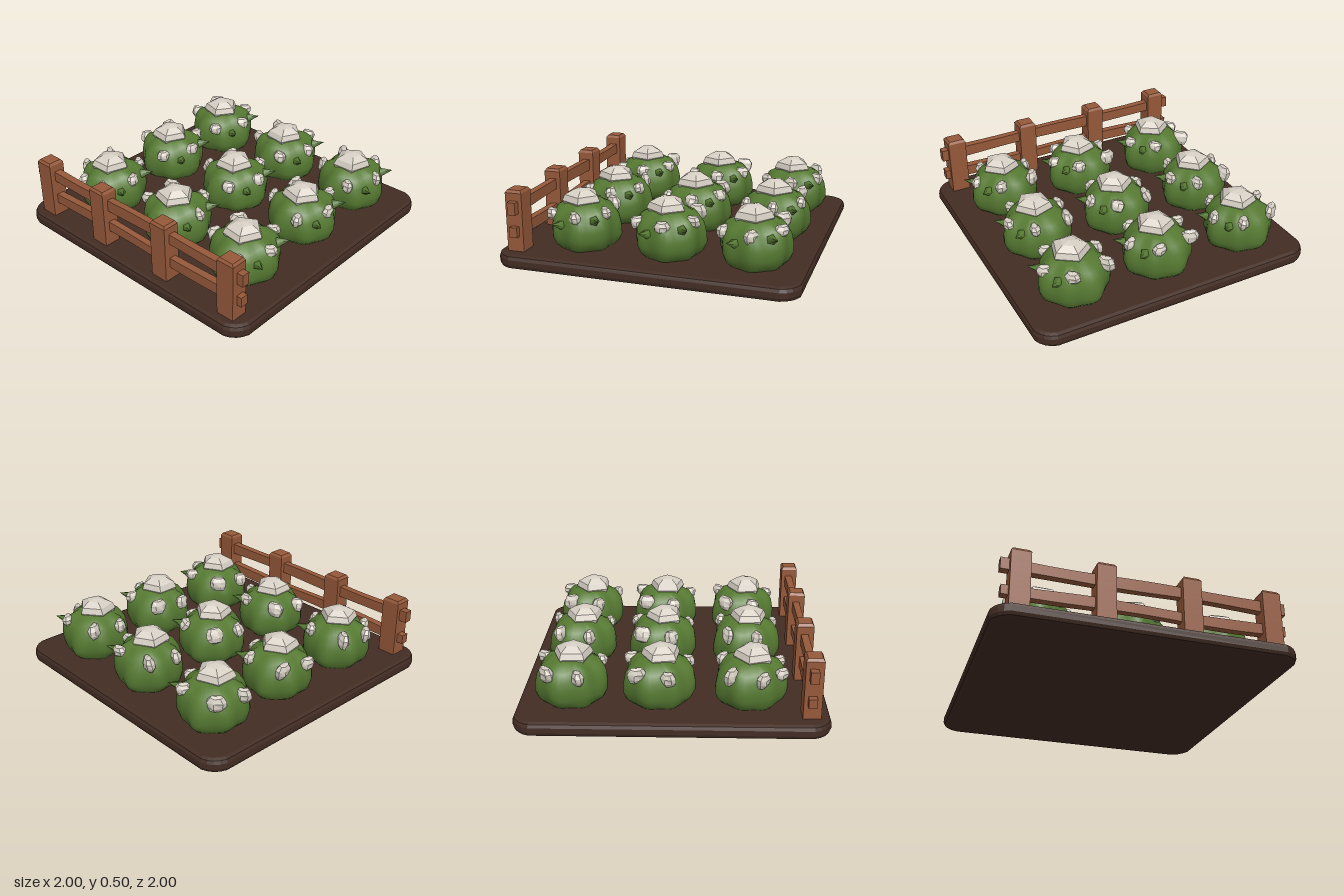
import * as THREE from 'three';
import { mergeVertices } from 'three/addons/utils/BufferGeometryUtils.js';

const material = (name, color, flatShading = false) => {
  const m = new THREE.MeshStandardMaterial({ color, flatShading });
  m.name = name;
  return m;
};

// Move every vertex by a rule, then weld and smooth
function reshape(geometry, rule, weld = true) {
  const p = geometry.attributes.position, v = new THREE.Vector3();
  for (let i = 0; i < p.count; i++) {
    rule(v.fromBufferAttribute(p, i));
    p.setXYZ(i, v.x, v.y, v.z);
  }
  if (weld) {
    geometry.deleteAttribute('uv');
    geometry.deleteAttribute('normal');
    geometry = mergeVertices(geometry, 1e-4);
  }
  geometry.computeVertexNormals();
  return geometry;
}

const lathe = (points, sides) =>
  new THREE.LatheGeometry(points.map(([r, y]) => new THREE.Vector2(r, y)), sides);

export function createModel() {
  const soil = material('soil', 0x432d24);
  const leaf = material('leaf green', 0x567a32);
  const floret = material('cream floret', 0xd6cfc4, true);
  const wood = material('fence wood', 0x96593a, true);

  const model = new THREE.Group();
  model.name = 'gardenBed';
  const add = (parent, name, geometry, mat, x = 0, y = 0, z = 0) => {
    const mesh = new THREE.Mesh(geometry, mat);
    mesh.name = name;
    mesh.position.set(x, y, z);
    parent.add(mesh);
    return mesh;
  };

  // Soil slab with rounded corners and a soft rim
  const h = 0.965, c = 0.09;
  const outline = new THREE.Shape();
  outline.moveTo(-h + c, -h);
  outline.lineTo(h - c, -h);
  outline.quadraticCurveTo(h - 0.02, -h + 0.02, h, -h + c);
  outline.lineTo(h, h - c);
  outline.quadraticCurveTo(h - 0.02, h - 0.02, h - c, h);
  outline.lineTo(-h + c, h);
  outline.quadraticCurveTo(-h + 0.02, h - 0.02, -h, h - c);
  outline.lineTo(-h, -h + c);
  outline.quadraticCurveTo(-h + 0.02, -h + 0.02, -h + c, -h);
  const slab = new THREE.ExtrudeGeometry(outline, {
    depth: 0.035, bevelThickness: 0.03, bevelSize: 0.03, bevelSegments: 2, curveSegments: 4,
  });
  slab.rotateX(-Math.PI / 2).translate(0, 0.03, 0);
  add(model, 'soilSlab', slab, soil).scale.set(1.005, 1, 1.005);

  // Lobed leafy body shared by all plants
  const body = reshape(lathe([[0, 0.09], [0.17, 0.09], [0.205, 0.125], [0.225, 0.18], [0.225, 0.24],
    [0.215, 0.3], [0.185, 0.35], [0.12, 0.39], [0, 0.4]], 42), (v) => {
    const a = Math.atan2(v.z, v.x);
    const lobes = 1 + 0.045 * Math.cos(7 * a + 0.6) + 0.03 * Math.cos(3 * a - 1 + 9 * v.y);
    v.x *= lobes;
    v.z *= lobes;
    v.y += v.y > 0.15 && v.y < 0.38 ? 0.012 * Math.sin(5 * a + 1) : 0;
  });

  // Five-sided floret on the crown and small side floret
  const crown = reshape(lathe([[0.115, 0.37], [0.132, 0.4], [0.115, 0.44], [0.06, 0.47], [0, 0.48]], 5),
    (v) => { v.x += 0.06 * (v.y - 0.4); });
  const knob = reshape(new THREE.SphereGeometry(1, 7, 5), (v) => {
    v.multiplyScalar(1 + 0.08 * Math.sin(4 * v.x + 3 * v.y + 2));
  });
  const tip = new THREE.ConeGeometry(0.035, 0.09, 5);

  // Side florets: x, y, z, half width, half height
  const knobs = [
    [-0.17, 0.335, -0.13, 0.068, 0.06], [-0.195, 0.32, 0.07, 0.055, 0.055],
    [0.08, 0.345, -0.175, 0.055, 0.045], [0.195, 0.325, -0.01, 0.055, 0.048],
    [0.1, 0.315, 0.19, 0.05, 0.045],
  ];
  const tips = [[0.19, 0.32, -0.155], [0.215, 0.28, 0.11]];
  const up = new THREE.Vector3(0, 1, 0);

  // Three rows of three plants
  const rows = [-0.655, -0.09, 0.5], columns = [-0.625, 0.015, 0.62];
  rows.forEach((z, r) => columns.forEach((x, col) => {
    const plant = new THREE.Group();
    plant.name = `plant${r * 3 + col + 1}`;
    plant.position.set(x, 0, z);
    add(plant, 'leafyBody', body, leaf);
    add(plant, 'crownFloret', crown, floret, 0.005, 0, 0.02).rotation.y = 0.35 + 0.15 * ((r + col) % 3);
    const set = r === 2 && col === 0 ? [...knobs, [-0.08, 0.31, 0.195, 0.055, 0.045]] : knobs;
    for (const [kx, ky, kz, w, t] of set) {
      const m = add(plant, 'sideFloret', knob, floret, kx, ky, kz);
      m.scale.set(w, t, 0.038);
      m.lookAt(kx * 2, ky + 0.08, kz * 2);
    }
    for (const [tx, ty, tz] of tips) {
      add(plant, 'leafTip', tip, leaf, tx, ty, tz)
        .quaternion.setFromUnitVectors(up, new THREE.Vector3(tx, 0.06, tz).normalize());
    }
    model.add(plant);
  }));

  // Fence posts with chamfered tops
  const fence = new THREE.Group();
  fence.name = 'fence';
  model.add(fence);
  const post = reshape(new THREE.BoxGeometry(0.128, 0.42, 0.115, 1, 12, 1), (v) => {
    if (v.y > 0.2) { v.x *= 0.8; v.z *= 0.8; } else if (v.y > 0.17) v.y = 0.192;
  }, false);
  for (const x of [-0.83, -0.29, 0.28, 0.84]) add(fence, 'fencePost', post, wood, x, 0.295, 0.875);

  // Hand-hewn rails, gently wavy and thinner toward mid-span
  const rail = (name, length, height, x, y, wave, phase) => {
    const g = reshape(new THREE.BoxGeometry(length, height, 0.055, 18, 1, 1), (v) => {
      v.y = v.y * (0.94 + 0.08 * Math.cos(6 * v.x + phase)) + wave * Math.sin(5 * v.x + phase);
      v.z *= 0.8 + 0.2 * Math.abs(v.x);
    }, false);
    add(fence, name, g, wood, x, y, 0.87);
  };
  rail('upperRail', 1.9, 0.082, 0, 0.398, 0.004, 0.5);
  rail('lowerRail', 1.88, 0.074, 0, 0.228, 0.006, 2.6);

  return model;
}
